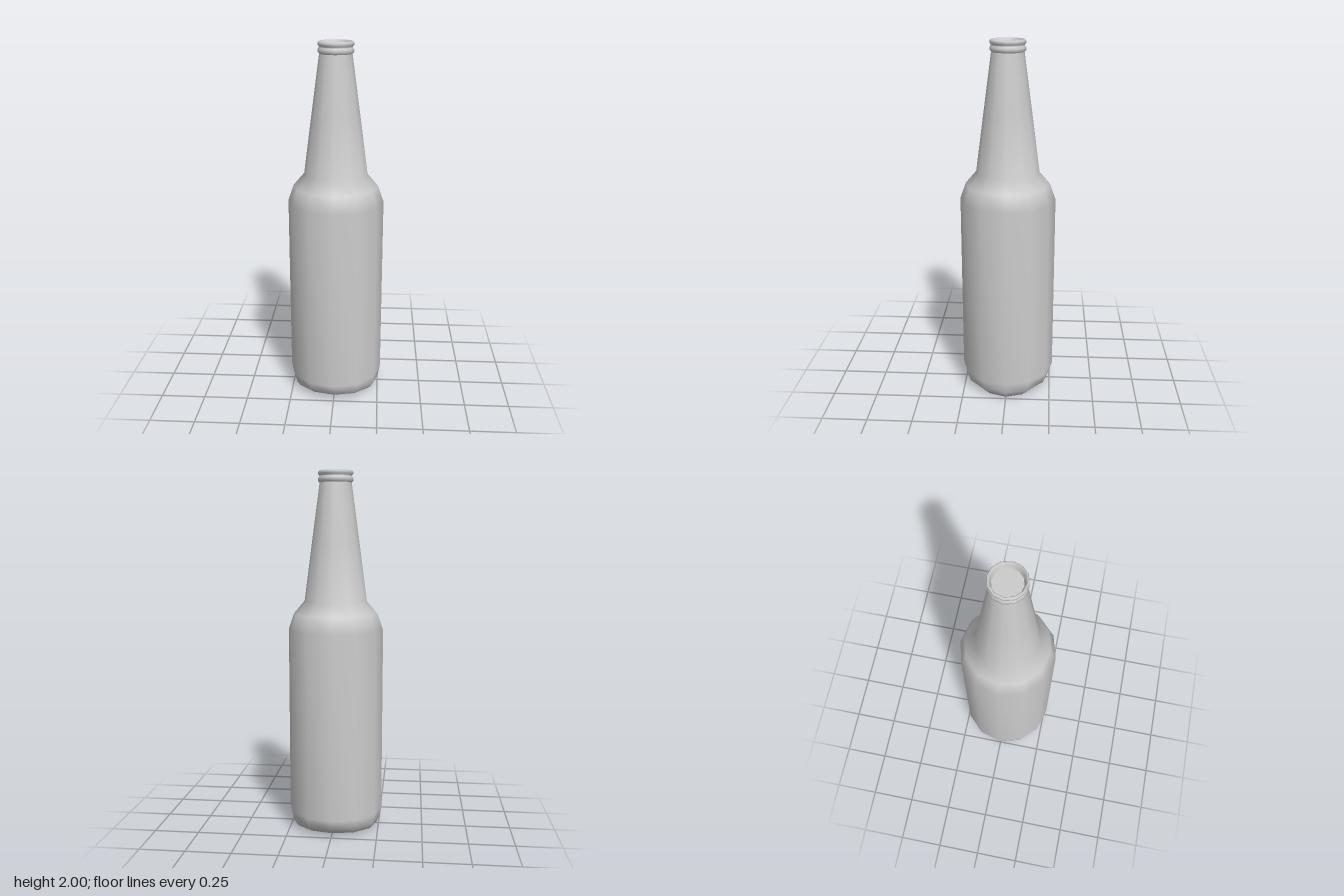
import * as THREE from 'three';
import { mergeVertices } from 'three/addons/utils/BufferGeometryUtils.js';

const SIDES = 12;

// Smooth 12-sided turned form, with no seam; rule may move its vertices
function turned(points, rule) {
  let geo = new THREE.LatheGeometry(points.map(([r, y]) => new THREE.Vector2(r, y)), SIDES);
  if (rule) {
    const pos = geo.attributes.position;
    for (let i = 0; i < pos.count; i++) rule(pos, i);
  }
  geo.deleteAttribute('uv');
  geo.deleteAttribute('normal');
  geo = mergeVertices(geo, 1e-4);
  geo.computeVertexNormals();
  return geo;
}

export function createModel() {
  const group = new THREE.Group();
  const material = new THREE.MeshStandardMaterial({ color: 0xcccccc, side: THREE.DoubleSide });
  const add = (name, geo) => {
    const mesh = new THREE.Mesh(geo, material);
    mesh.name = name;
    group.add(mesh);
    return mesh;
  };

  // Base, body, shoulder and tapered neck; the base is wider along x
  add('bottleBody', turned([
    [0, 0], [0.19, 0.003], [0.245, 0.04], [0.266, 0.1],
    [0.266, 1.13], [0.235, 1.22], [0.175, 1.29], [0.131, 1.62], [0.088, 1.935],
  ], (pos, i) => {
    const y = pos.getY(i);
    if (y < 0.01) pos.setX(i, pos.getX(i) * 1.24);
    else if (y < 0.05) pos.setX(i, pos.getX(i) * 1.04);
  }));

  // Two beads around the mouth, rolling over into the opening
  add('mouthRim', turned([
    [0.088, 1.935], [0.096, 1.943], [0.097, 1.957], [0.09, 1.967], [0.089, 1.973],
    [0.096, 1.98], [0.097, 1.991], [0.091, 2], [0.084, 1.995], [0.081, 1.982], [0.075, 1.962],
  ]));

  // Flat surface closing the inside of the mouth
  const floor = add('mouthFloor', new THREE.CircleGeometry(0.075, SIDES));
  floor.rotation.x = -Math.PI / 2;
  floor.position.y = 1.962;

  return group;
}
